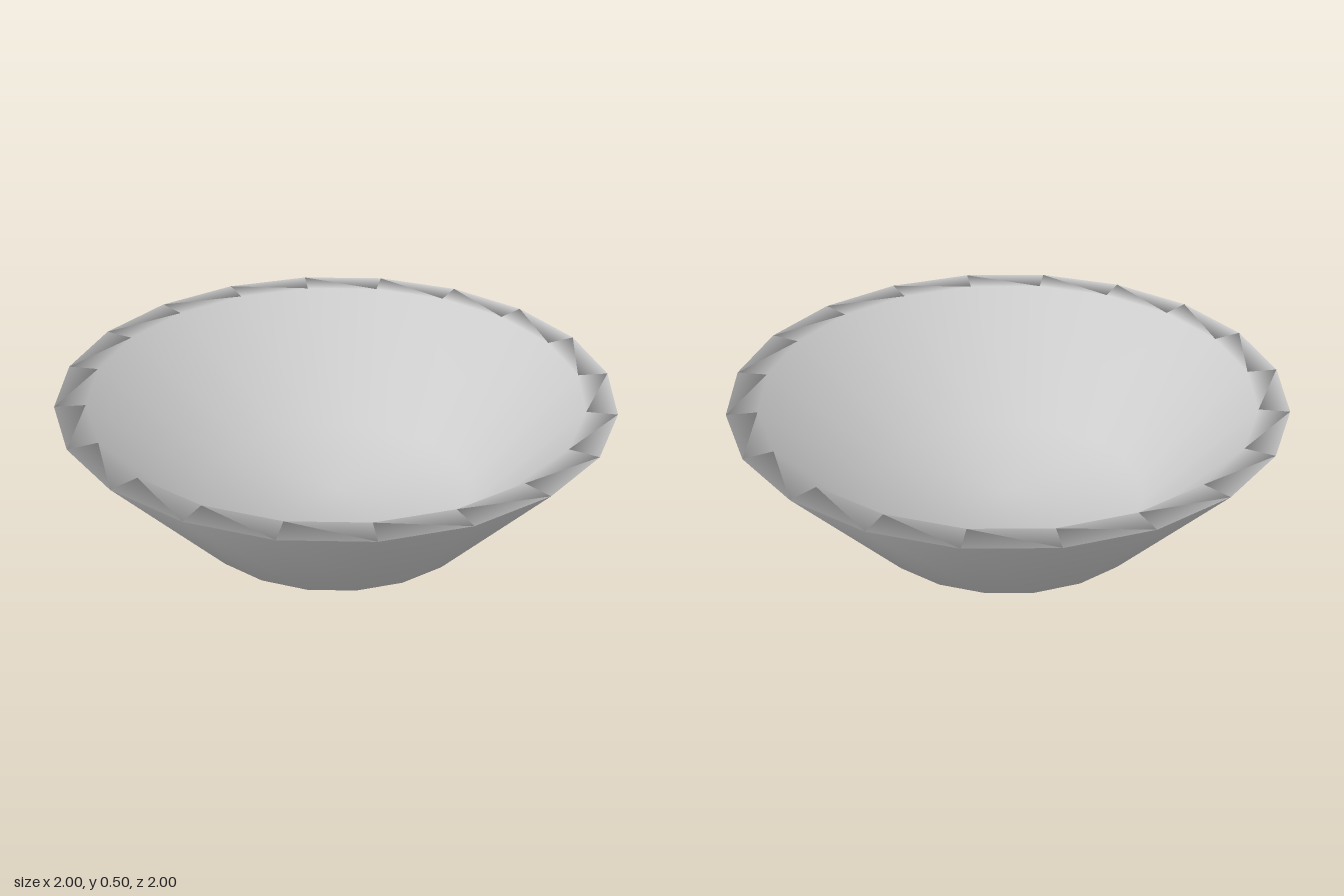
import * as THREE from 'three';
import { mergeVertices } from 'three/addons/utils/BufferGeometryUtils.js';

export function createModel() {
  const group = new THREE.Group();
  group.name = 'bowl';
  const material = new THREE.MeshStandardMaterial({ color: 0xcccccc });

  // Closed profile: underside, flared wall, flat rim, inner wall, floor
  const profile = [
    [0, 0], [0.54, 0], [1, 0.5], [0.89, 0.5], [0.5, 0.08], [0, 0.08],
  ].map(([r, y]) => new THREE.Vector2(r, y));

  // Twenty-sided body, welded so the shading runs smoothly over every edge
  const lathe = new THREE.LatheGeometry(profile, 20);
  lathe.deleteAttribute('normal');
  lathe.deleteAttribute('uv');
  const geometry = mergeVertices(lathe);
  geometry.computeVertexNormals();

  const shell = new THREE.Mesh(geometry, material);
  shell.name = 'bowlShell';
  group.add(shell);
  return group;
}
